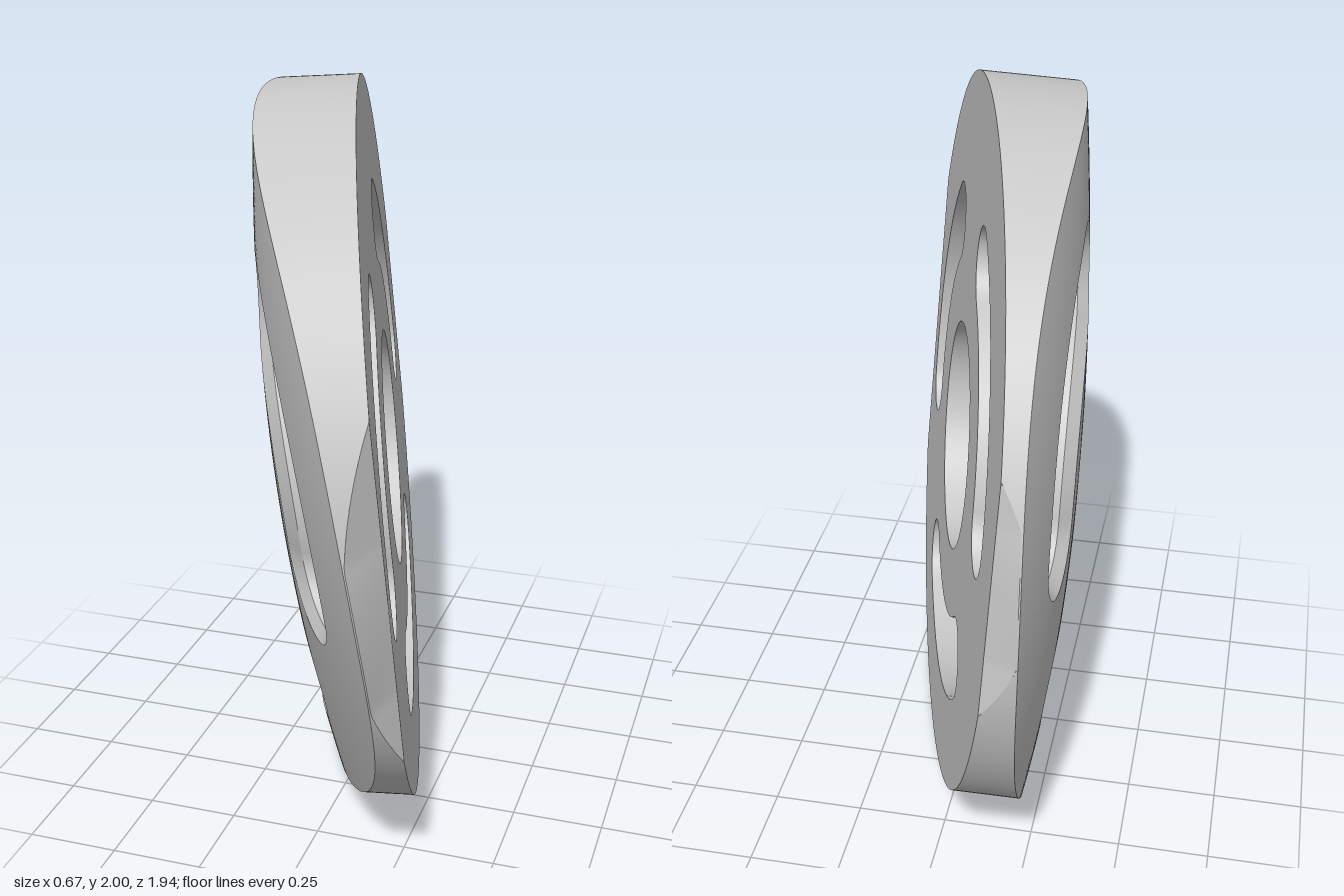
import * as THREE from 'three';

// Tilted disc frame: V and U lie in the flat face, N is its outward normal
const C = new THREE.Vector3(0.059, 1.01, -0.003);
const N = new THREE.Vector3(1, 0.094, -0.28).normalize();
const U = new THREE.Vector3(0.275, -0.086, 0.957);
U.addScaledVector(N, -U.dot(N)).normalize();
const V = new THREE.Vector3().crossVectors(U, N);

const R = 0.992;                               // rim radius
const LEAN = 0.18;                             // sideways lean of the rim against N
const HOLE = { y: 0.978, z: 0.017, r: 0.323 }; // bore, running along x
const SLOT = { r: 0.627, w: 0.113, start: 8.35, span: 65 };
const CUTS = [                                 // slanted cuts on the flat side
  { name: 'leftCut', side: 1, u: 0.89, slope: 0.92 },
  { name: 'rightCut', side: -1, u: 0.957, slope: 1.35 },
];
const BEVEL = 0.034;
const RAD = Math.PI / 180;
const TURN = 360;

// Thickness of the disc: the back is crowned, more strongly across U
const thickness = (u, v) =>
  0.325 - 0.25 * u * u - 0.07 * v * v + 0.06 * u * v - 0.12 * u * u * v * v;

const local = (u, v, n) => C.clone().addScaledVector(U, u).addScaledVector(V, v).addScaledVector(N, n);

// Points on the flat or crowned face above a given y, z
function onFlat(y, z) {
  return new THREE.Vector3(C.x - (N.y * (y - C.y) + N.z * (z - C.z)) / N.x, y, z);
}
function onCrown(y, z) {
  const p = onFlat(y, z), x0 = p.x;
  for (let k = 0; k < 10; k++) {
    const d = p.clone().sub(C);
    p.x = x0 - thickness(d.dot(U), d.dot(V)) / N.x;
  }
  return p;
}

// Polar position around the bore, as [y, z]
const polar = (r, a) => [HOLE.y + r * Math.sin(a), HOLE.z - r * Math.cos(a)];
const angle = j => (j + 0.35) * RAD;

// Smooth grid surface from a point rule
function grid(rows, cols, rule, flip = false) {
  const pos = [], index = [];
  for (let i = 0; i <= rows; i++)
    for (let j = 0; j <= cols; j++) pos.push(...rule(i, j).toArray());
  for (let i = 0; i < rows; i++)
    for (let j = 0; j < cols; j++) {
      const a = i * (cols + 1) + j, b = a + cols + 1;
      if (flip) index.push(a, b + 1, b, a, a + 1, b + 1);
      else index.push(a, b, b + 1, a, b + 1, a + 1);
    }
  const g = new THREE.BufferGeometry();
  g.setAttribute('position', new THREE.Float32BufferAttribute(pos, 3));
  g.setIndex(index);
  g.computeVertexNormals();
  return g;
}

// Rim points: flat edge (shortened by the cuts), lower edge of the cuts, crown edge
const RU = R * Math.hypot(1, LEAN);
function rim(a) {
  const u = -RU * Math.cos(a), v = R * Math.sin(a);
  let full = 0;
  for (let k = 0; k < 10; k++) full = thickness(u - LEAN * full, v);
  let flatU = u, depth = 0;
  for (const { side, u: at, slope } of CUTS)
    if (side * u > at) {
      flatU = side * at;
      depth = Math.min(full - 0.004, slope * (side * u - at) / (1 + side * slope * LEAN));
    }
  const down = d => local(u - LEAN * d, v, -d);
  return { flat: local(flatU, v, 0), cut: down(depth), crown: down(full) };
}

// Closed outline of one slot with round ends, counter-clockwise
function slotOutline(k, w) {
  const a0 = (SLOT.start + 120 * k) * RAD, a1 = a0 + SLOT.span * RAD, pts = [];
  const arc = (r, from, to) => {
    for (let i = 0; i <= SLOT.span; i++) pts.push(polar(r, from + (to - from) * i / SLOT.span));
  };
  const cap = (a, turn) => {
    const [y, z] = polar(SLOT.r, a);
    for (let i = 1; i < 28; i++) {
      const t = a + turn + Math.PI * i / 28;
      pts.push([y + w * Math.sin(t), z - w * Math.cos(t)]);
    }
  };
  arc(SLOT.r + w, a0, a1);
  cap(a1, 0);
  arc(SLOT.r - w, a1, a0);
  cap(a0, Math.PI);
  pts.push(pts[0]);
  return pts;
}

export function createModel() {
  const model = new THREE.Group();
  model.name = 'slottedDisc';
  const grey = new THREE.MeshStandardMaterial({ color: 0xc8c8c8 });
  grey.name = 'grey';
  const add = (name, geometry) => {
    const mesh = new THREE.Mesh(geometry, grey);
    mesh.name = name;
    model.add(mesh);
  };

  // One face: inner ring, three bridges between the slots, outer ring
  function face(name, surface, edge, bevel, flip) {
    const w = SLOT.w + bevel, r0 = HOLE.r + bevel, r1 = SLOT.r - w, r2 = SLOT.r + w;
    add(name + 'InnerRing', grid(6, TURN, (i, j) =>
      surface(...polar(r0 + (r1 - r0) * i / 6, angle(j))), flip));
    const cols = 120 - SLOT.span;
    for (let k = 0; k < 3; k++) {
      const end = (SLOT.start + 120 * k + SLOT.span) * RAD, sweep = cols * RAD;
      add(name + 'Bridge', grid(28, cols, (i, j) => {
        const r = SLOT.r - w * Math.cos(Math.PI * i / 28);
        const c = (r * r + SLOT.r ** 2 - w * w) / (2 * r * SLOT.r);
        const d = i % 28 ? Math.acos(Math.min(1, c)) : 0;
        return surface(...polar(r, end + d + (sweep - 2 * d) * j / cols));
      }, flip));
    }
    add(name + 'OuterRing', grid(8, TURN, (i, j) => {
      const [y, z] = polar(r2, angle(j)), e = rim(angle(j))[edge], s = i / 8;
      return surface(y + (e.y - y) * s, z + (e.z - z) * s);
    }, flip));
  }
  face('flatFace', onFlat, 'flat', 0, false);
  face('crownedFace', onCrown, 'crown', BEVEL, true);

  // Rim and the two slanted cuts on its flat side
  add('rim', grid(1, TURN, (i, j) => rim(angle(j))[i ? 'crown' : 'cut']));
  for (const { name, side, u } of CUTS) {
    const half = Math.acos(u / RU), middle = side > 0 ? Math.PI : 0;
    add(name, grid(1, 48, (i, j) =>
      rim(middle + half * (j / 24 - 1))[i ? 'cut' : 'flat']));
  }

  // Straight wall along x with a bevel at the crowned face
  function opening(name, inner, outer) {
    const lip = inner.map(([y, z]) => {
      const p = onCrown(y, z);
      p.x += 0.03;
      return p;
    });
    add(name + 'Bevel', grid(1, inner.length - 1, (i, j) => i ? lip[j] : onCrown(...outer[j])));
    add(name + 'Wall', grid(1, inner.length - 1, (i, j) => i ? onFlat(...inner[j]) : lip[j]));
  }
  const circle = r => Array.from({ length: TURN + 1 }, (_, j) => polar(r, angle(j)));
  opening('bore', circle(HOLE.r), circle(HOLE.r + BEVEL));
  for (let k = 0; k < 3; k++)
    opening('slot', slotOutline(k, SLOT.w), slotOutline(k, SLOT.w + BEVEL));

  return model;
}
